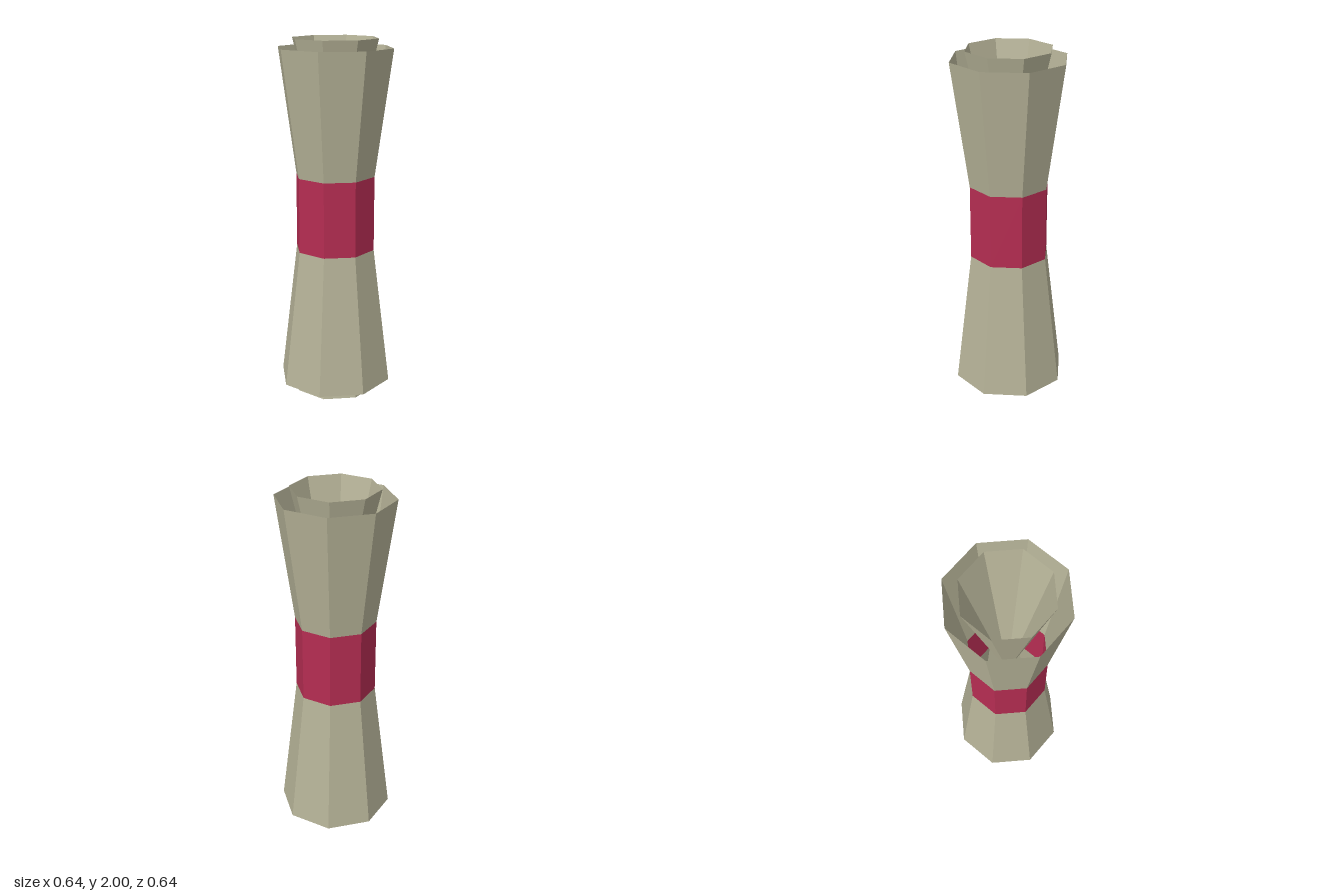
import * as THREE from 'three';

const SIDES = 8;

function material(color) {
  return new THREE.MeshStandardMaterial({ color, flatShading: true, side: THREE.DoubleSide });
}

export function createModel() {
  const model = new THREE.Group();
  model.name = 'rolledScroll';
  const paper = material(0xb5b297);
  const ribbon = material(0xb52d52);

  // Open eight-sided tube between two heights
  function tube(name, y0, r0, y1, r1, mat) {
    const geometry = new THREE.CylinderGeometry(r1, r0, y1 - y0, SIDES, 1, true);
    const mesh = new THREE.Mesh(geometry, mat);
    mesh.name = name;
    mesh.position.y = (y0 + y1) / 2;
    model.add(mesh);
  }

  // Outer sheet, flaring away from the tie
  tube('lowerOuterRoll', 0.055, 0.322, 0.835, 0.225, paper);
  tube('upperOuterRoll', 1.255, 0.225, 1.95, 0.322, paper);

  // Ribbon tied around the waist
  tube('ribbonBand', 0.835, 0.225, 1.255, 0.225, ribbon);

  // Inner sheet, pinched to a point at the middle
  tube('lowerInnerRoll', 0, 0.24, 1, 0, paper);
  tube('upperInnerRoll', 1, 0, 2, 0.24, paper);

  return model;
}
